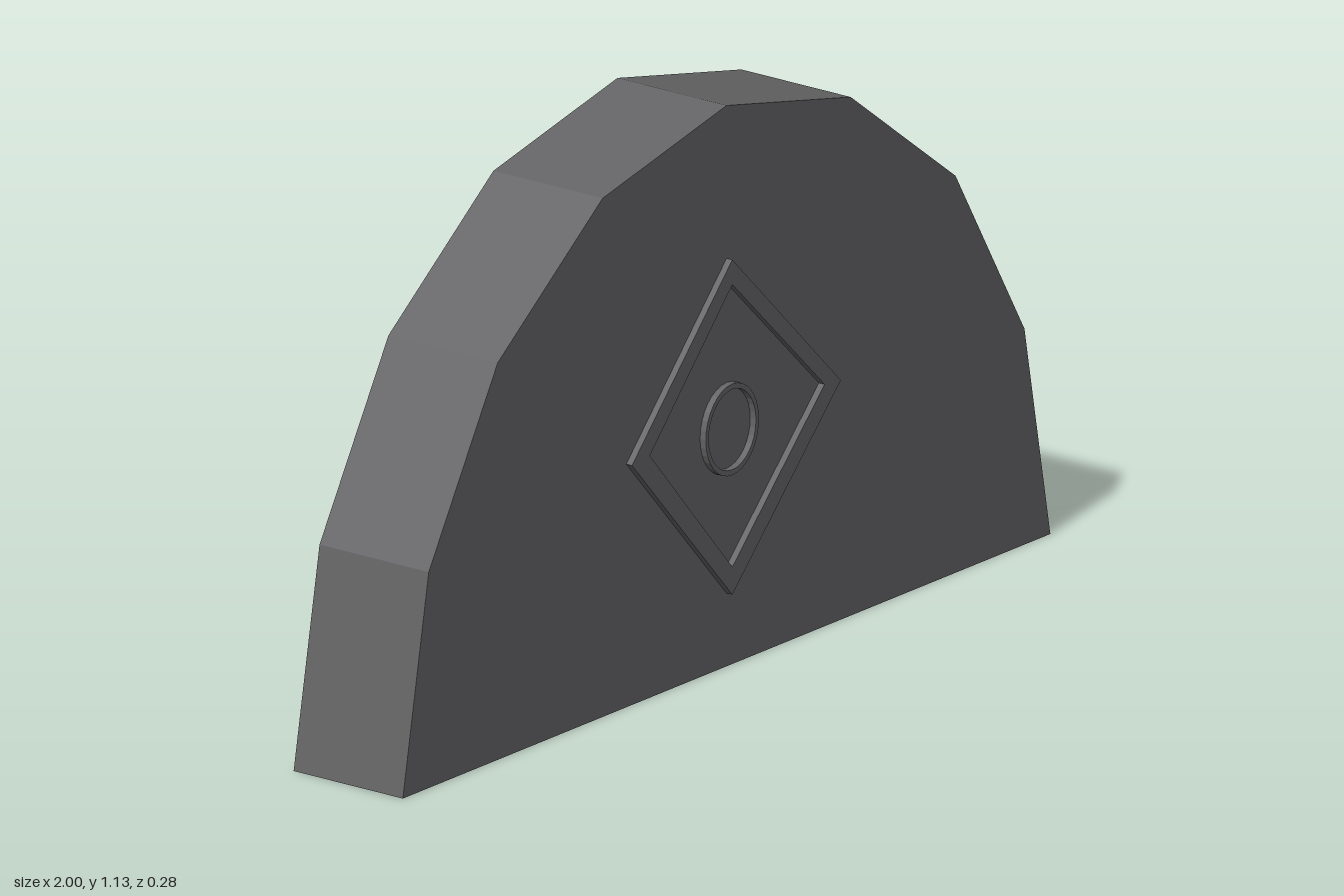
import * as THREE from 'three';

const BACK = -0.14, FACE = 0.125, RAISED = 0.139;

// closed outline from a short list of corners
const outline = (points) => points.map(([x, y]) => new THREE.Vector2(x, y));

function ellipse(rx, ry, n = 32) {
  return Array.from({ length: n }, (_, i) => {
    const a = (i / n) * Math.PI * 2;
    return new THREE.Vector2(rx * Math.cos(a), 0.48 + ry * Math.sin(a));
  });
}

// flat plate between two depths, optionally with an opening
function plate(name, points, hole, z0, z1, material) {
  const shape = new THREE.Shape(points);
  if (hole) shape.holes.push(new THREE.Path(hole));
  const geometry = new THREE.ExtrudeGeometry(shape, { depth: z1 - z0, bevelEnabled: false });
  geometry.translate(0, 0, z0);
  const mesh = new THREE.Mesh(geometry, material);
  mesh.name = name;
  return mesh;
}

export function createModel() {
  const group = new THREE.Group();
  group.name = 'archedBlock';
  const darkGrey = new THREE.MeshStandardMaterial({ color: 0x646466 });
  darkGrey.name = 'darkGrey';

  // faceted half-round slab, right side mirrored to the left
  const side = [[1, 0], [0.92, 0.435], [0.707, 0.8], [0.383, 1.045]];
  const mirrored = side.map(([x, y]) => [-x, y]).reverse();
  const body = outline([...side, [0, 1.13], ...mirrored]);
  group.add(plate('body', body, null, BACK, FACE, darkGrey));

  // thin raised diamond border
  const outer = outline([[0.335, 0.49], [0, 0.822], [-0.31, 0.49], [0, 0.147]]);
  const inner = outline([[0.285, 0.495], [0, 0.772], [-0.255, 0.495], [0, 0.203]]);
  group.add(plate('diamondFrame', outer, inner, FACE, RAISED, darkGrey));

  // thin raised oval ring in the middle
  group.add(plate('centreRing', ellipse(0.082, 0.092), ellipse(0.073, 0.081), FACE, RAISED, darkGrey));

  return group;
}
